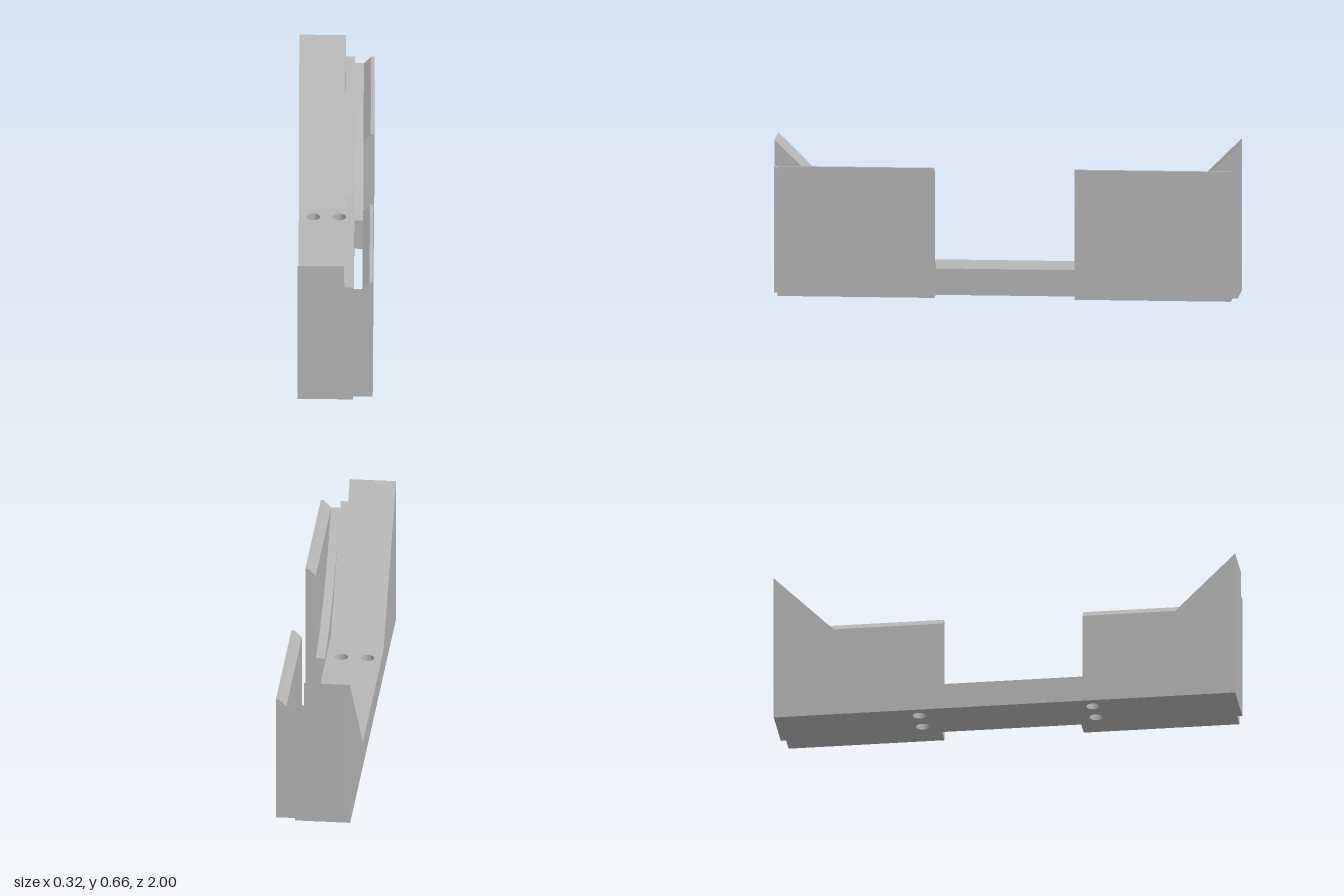
import * as THREE from 'three';

const grey = new THREE.MeshStandardMaterial({ color: 0xb6b6b6 });

// Planes that separate the layers across the width
const X0 = -0.162, X1 = 0.038, X2 = 0.077, X3 = 0.116, X4 = 0.161;
const FLOOR = 0.115, DECK_END = 0.45, PANEL_START = 0.302, PANEL_END = 0.977;

function add(parent, geometry, name) {
  const mesh = new THREE.Mesh(geometry, grey);
  mesh.name = name;
  parent.add(mesh);
}

function extrude(shape, depth) {
  return new THREE.ExtrudeGeometry(shape, { depth, bevelEnabled: false, curveSegments: 32 });
}

// Side profile of (z, y) points, extruded across the width
function sideProfile(points, side, xa, xb) {
  const shape = new THREE.Shape(points.map(([z, y]) => new THREE.Vector2(z * side, y)));
  return extrude(shape, xb - xa).rotateY(-Math.PI / 2).translate(xb, 0, 0);
}

export function createModel() {
  const model = new THREE.Group();
  model.name = 'bracket';

  // Flat middle deck with four screw holes
  const plan = new THREE.Shape([
    [X0, -DECK_END], [X2, -DECK_END], [X2, DECK_END], [X0, DECK_END],
  ].map(([x, z]) => new THREE.Vector2(x, z)));
  for (const x of [-0.1, 0.012]) {
    for (const z of [-0.376, 0.376]) {
      plan.holes.push(new THREE.Path().absarc(x, z, 0.029, 0, Math.PI * 2, true));
    }
  }
  add(model, extrude(plan, FLOOR).rotateX(-Math.PI / 2), 'deck');

  // Concave edge of the ledge inside each panel
  const ledgeCurve = new THREE.QuadraticBezierCurve(
    new THREE.Vector2(PANEL_START, 0.14),
    new THREE.Vector2(0.64, 0.188),
    new THREE.Vector2(PANEL_END, 0.533),
  ).getPoints(32).map((p) => [p.x, p.y]);

  for (const side of [1, -1]) {
    const end = new THREE.Group();
    end.name = side > 0 ? 'frontEnd' : 'backEnd';
    model.add(end);

    // Main ramp and the lower ramp beside it
    add(end, sideProfile([[DECK_END, 0], [1, 0], [1, 0.66], [DECK_END, FLOOR]],
      side, X0, X1), 'mainRamp');
    add(end, sideProfile([[DECK_END, 0], [1, 0], [1, 0.553], [0.557, FLOOR], [DECK_END, FLOOR]],
      side, X1, X2), 'lowerRamp');

    // Curved ledge
    add(end, sideProfile([[PANEL_START, 0], ...ledgeCurve, [PANEL_END, 0]],
      side, X2, X3), 'curvedLedge');

    // Outer panel with a chamfered top edge
    const section = new THREE.Shape([
      [X3, 0], [X4, 0], [X4, 0.565], [0.147, 0.565], [X3, 0.533],
    ].map(([x, y]) => new THREE.Vector2(x, y)));
    const panel = extrude(section, PANEL_END - PANEL_START);
    panel.translate(0, 0, side > 0 ? PANEL_START : -PANEL_END);
    add(end, panel, 'outerPanel');
  }
  return model;
}
